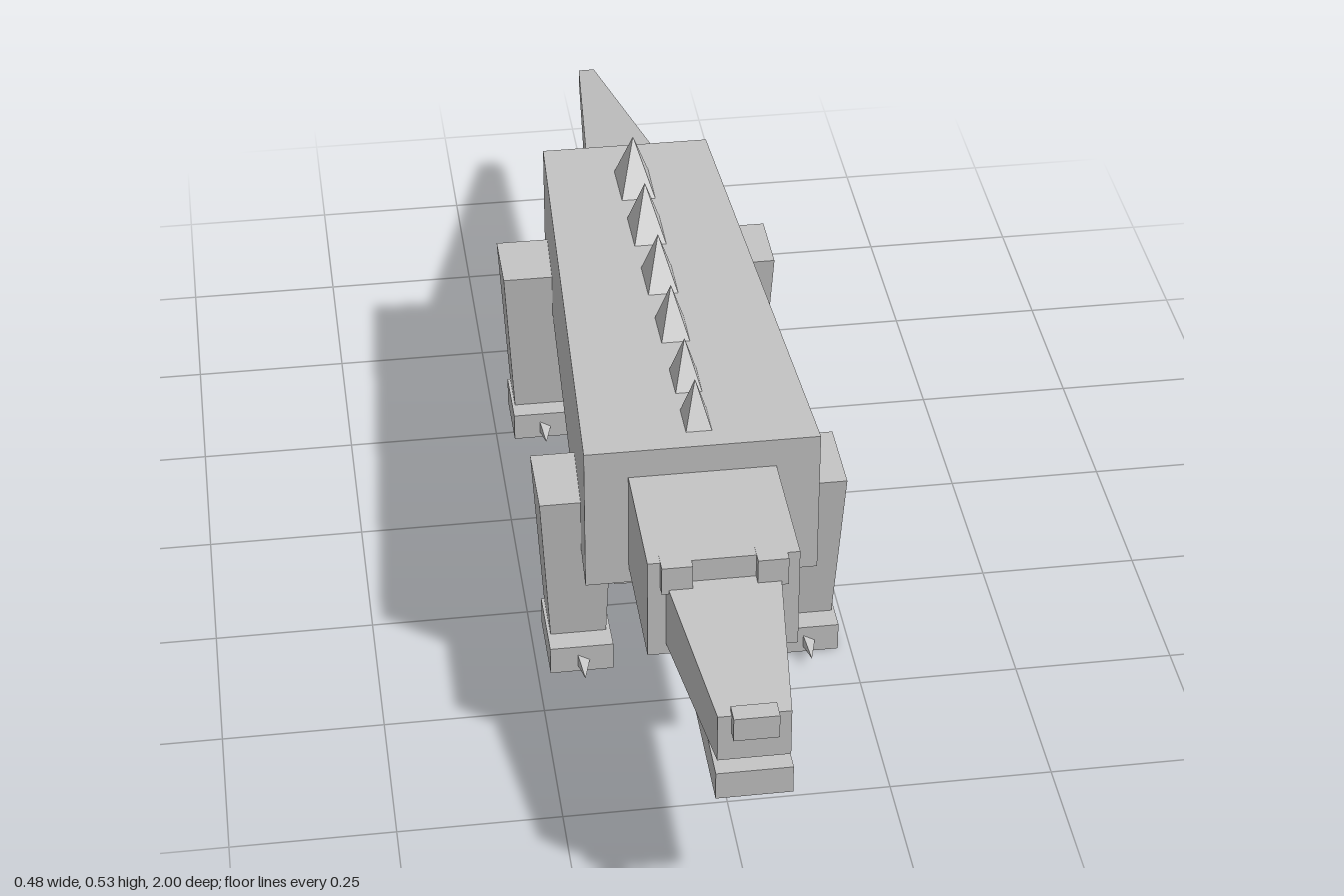
import * as THREE from 'three';

const hide = new THREE.MeshStandardMaterial({ color: 0xc4c4c4 });
hide.name = 'grey hide';

// Tapered block between two rectangles [x0, x1, v0, v1, position along axis].
// axis 'z': v is y; axis 'y': v is z.
function taper(name, axis, low, high) {
  const box = new THREE.BoxGeometry(1, 1, 1);
  const p = box.attributes.position;
  for (let i = 0; i < p.count; i++) {
    const along = axis === 'z' ? p.getZ(i) : p.getY(i);
    const across = axis === 'z' ? p.getY(i) : p.getZ(i);
    const r = along < 0 ? low : high;
    const x = p.getX(i) < 0 ? r[0] : r[1];
    const v = across < 0 ? r[2] : r[3];
    if (axis === 'z') p.setXYZ(i, x, v, r[4]);
    else p.setXYZ(i, x, r[4], v);
  }
  const geometry = box.toNonIndexed();
  geometry.computeVertexNormals();
  const mesh = new THREE.Mesh(geometry, hide);
  mesh.name = name;
  return mesh;
}

// Straight block from its limits
function block(name, x0, x1, y0, y1, z0, z1) {
  return taper(name, 'z', [x0, x1, y0, y1, z0], [x0, x1, y0, y1, z1]);
}

// Leg with foot and claw; side is +1 for left, -1 for right
function makeLeg(name, side, dx, top, bottom, toe) {
  const leg = new THREE.Group();
  leg.name = name;
  const span = (a, b) => (side > 0 ? [a + dx, b + dx] : [-b - dx, -a - dx]);
  leg.add(taper('shank', 'y',
    [...span(0.137, 0.225), ...bottom, 0.045],
    [...span(0.126, 0.24), ...top, 0.315]));
  leg.add(block('foot', ...span(0.13, 0.23), 0, 0.048, bottom[0], toe));
  const cone = new THREE.ConeGeometry(0.0125, 0.046, 3).toNonIndexed();
  cone.rotateX(Math.PI / 2).rotateZ(Math.PI / 2);
  cone.computeVertexNormals();
  const claw = new THREE.Mesh(cone, hide);
  claw.name = 'claw';
  claw.position.set(side * (0.18 + dx), 0.021, toe + 0.023);
  leg.add(claw);
  return leg;
}

export function createModel() {
  const model = new THREE.Group();
  model.name = 'reptile';

  // Trunk, belly plate and tail
  model.add(taper('body', 'z',
    [-0.14, 0.14, 0.24, 0.447, -0.438], [-0.18, 0.18, 0.22, 0.466, 0.475]));
  model.add(taper('belly', 'z',
    [-0.105, 0.105, 0.216, 0.26, -0.4], [-0.133, 0.133, 0.202, 0.26, 0.455]));
  model.add(taper('tail', 'z',
    [-0.014, 0.014, 0.25, 0.275, -1], [-0.065, 0.065, 0.305, 0.415, -0.435]));

  // Head, jaws, brows and nose
  const head = new THREE.Group();
  head.name = 'head';
  head.add(block('skull', -0.113, 0.113, 0.248, 0.418, 0.47, 0.69));
  head.add(taper('upperJaw', 'z',
    [-0.086, 0.086, 0.267, 0.38, 0.685], [-0.053, 0.053, 0.285, 0.364, 0.982]));
  head.add(block('lowerJaw', -0.056, 0.056, 0.221, 0.267, 0.685, 0.99));
  head.add(block('nose', -0.033, 0.033, 0.333, 0.372, 0.97, 1));
  for (const s of [-1, 1]) {
    head.add(block('brow', s * 0.071 - 0.023, s * 0.071 + 0.023, 0.372, 0.419, 0.67, 0.706));
    for (const z of [0.75, 0.83, 0.91]) {
      const x = s * 0.046;
      head.add(taper('tooth', 'y',
        [x - 0.005, x + 0.005, z - 0.005, z + 0.005, 0.266],
        [x - 0.009, x + 0.009, z - 0.009, z + 0.009, 0.288]));
    }
  }
  model.add(head);

  // Row of back spikes: back edge, front edge, tip position, half width
  const spikes = [
    [0.37, 0.45, 0.391, 0.026], [0.257, 0.343, 0.279, 0.026],
    [0.107, 0.198, 0.129, 0.027], [-0.043, 0.054, -0.02, 0.028],
    [-0.2, -0.1, -0.178, 0.029], [-0.354, -0.25, -0.327, 0.03],
  ];
  for (const [z0, z1, tip, w] of spikes) {
    model.add(taper('spike', 'y', [-w, w, z0, z1, 0.445], [0, 0, tip, tip, 0.53]));
  }

  // Legs
  for (const s of [1, -1]) {
    const label = s > 0 ? 'Left' : 'Right';
    model.add(makeLeg('front' + label + 'Leg', s, 0, [0.257, 0.39], [0.279, 0.372], 0.41));
    model.add(makeLeg('rear' + label + 'Leg', s, -0.01, [-0.365, -0.247], [-0.343, -0.263], -0.23));
  }
  return model;
}
